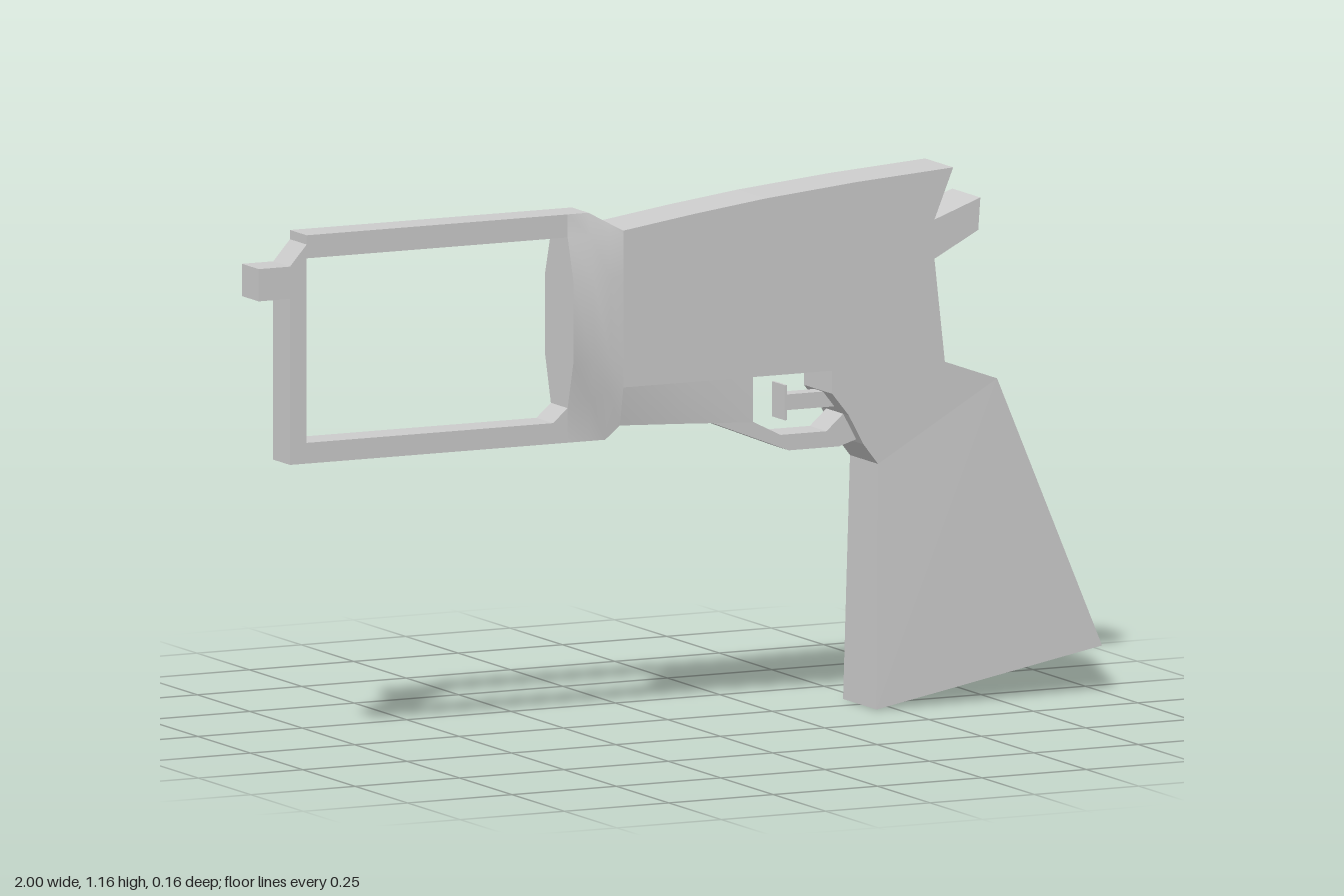
import * as THREE from 'three';
import { toCreasedNormals } from 'three/addons/utils/BufferGeometryUtils.js';

const WIDE = 0.067, NARROW = 0.04, FLARE = 0.08;
const material = new THREE.MeshStandardMaterial({ color: 0xcccccc });

function mesh(name, geometry) {
  const m = new THREE.Mesh(geometry, material);
  m.name = name;
  return m;
}

// Side outline extruded symmetrically about z = 0
function slab(points, half) {
  const shape = new THREE.Shape(points.map(([x, y]) => new THREE.Vector2(x, y)));
  return new THREE.ExtrudeGeometry(shape, { depth: half * 2, bevelEnabled: false }).translate(0, 0, -half);
}

// Loft along +x; each section is { x, half: [[y, z], ...] } from top to bottom, mirrored in z
function loft(sections) {
  const rings = sections.map(({ x, half }) => [
    ...half.map(([y, z]) => [x, y, z]),
    ...half.slice().reverse().map(([y, z]) => [x, y, -z]),
  ]);
  const pos = [];
  const quad = (a, b, c, d) => pos.push(...a, ...b, ...c, ...a, ...c, ...d);
  const n = rings[0].length;
  for (let s = 0; s < rings.length - 1; s++) {
    const a = rings[s], b = rings[s + 1];
    for (let i = 0; i < n; i++) {
      const j = (i + 1) % n;
      quad(a[i], a[j], b[j], b[i]);
    }
  }
  const first = rings[0], last = rings[rings.length - 1];
  for (let i = 0; i < n / 2 - 1; i++) {
    const k = n - 1 - i;
    quad(first[i], first[k], first[k - 1], first[i + 1]);
    quad(last[i], last[i + 1], last[k - 1], last[k]);
  }
  const geometry = new THREE.BufferGeometry();
  geometry.setAttribute('position', new THREE.Float32BufferAttribute(pos, 3));
  return toCreasedNormals(geometry, 0.5);
}

export function createModel() {
  const group = new THREE.Group();

  // Open window frame with the front lug
  group.add(mesh('windowFrame', slab([
    [-0.26, 1.12], [-0.885, 1.12], [-0.885, 1.10], [-0.925, 1.055], [-1, 1.055],
    [-1, 0.985], [-0.925, 0.985], [-0.925, 0.625], [-0.26, 0.625], [-0.26, 0.70],
    [-0.295, 0.67], [-0.885, 0.67], [-0.885, 1.07], [-0.26, 1.07],
  ], NARROW)));

  // Shoulder blending the thin frame into the wide body
  const shoulder = [
    // x, top y, top z, upper y, upper z, lower z, bottom y, bottom z
    [-0.26, 1.12, 0.04, 1.07, 0.04, 0.04, 0.625, 0.04],
    [-0.21, 1.12, 0.04, 1.07, 0.05, 0.05, 0.625, 0.04],
    [-0.17, 1.097, 0.054, 1.07, 0.06, 0.06, 0.625, 0.04],
    [-0.14, 1.08, WIDE, 1.07, WIDE, WIDE, 0.655, 0.05],
  ].map(([x, ty, tz, uy, uz, lz, by, bz]) => ({
    x,
    half: [[ty, tz], [uy, uz], [0.98, WIDE], [0.8, WIDE], [0.70 + (x + 0.26) / 3, lz], [by, bz]],
  }));
  group.add(mesh('shoulder', loft(shoulder)));

  // Main body with the rear spur
  group.add(mesh('body', slab([
    [-0.14, 1.08], [0.03, 1.104], [0.2, 1.125], [0.42, 1.145], [0.65, 1.16], [0.605, 1.05],
    [0.715, 1.09], [0.71, 1.02], [0.605, 0.965], [0.63, 0.74], [0.755, 0.695],
    [0.47, 0.53], [0.435, 0.575], [0.40, 0.64], [0.36, 0.69], [0.36, 0.74], [-0.14, 0.74],
  ], WIDE)));

  // Belly in front of the trigger opening
  group.add(mesh('belly', loft([
    { x: -0.14, half: [[0.74, WIDE], [0.655, 0.05]] },
    { x: 0.0, half: [[0.74, WIDE], [0.65, 0.06]] },
    { x: 0.17, half: [[0.74, WIDE], [0.642, WIDE]] },
  ])));

  // Grip, widening toward its base
  const grip = slab([[0.46, 0], [1, 0.10], [0.755, 0.695], [0.47, 0.53]], WIDE);
  const p = grip.attributes.position;
  for (let i = 0; i < p.count; i++) {
    if (p.getY(i) < 0.2) p.setZ(i, Math.sign(p.getZ(i)) * FLARE);
  }
  grip.computeVertexNormals();
  group.add(mesh('grip', grip));

  // Trigger guard
  group.add(mesh('triggerGuard', slab([
    [0.08, 0.645], [0.27, 0.57], [0.39, 0.57], [0.44, 0.585], [0.40, 0.64],
    [0.36, 0.605], [0.25, 0.605], [0.17, 0.645],
  ], NARROW)));

  // Trigger: thin blade on a short bar
  const trigger = new THREE.Group();
  trigger.name = 'trigger';
  trigger.add(mesh('triggerBlade', new THREE.BoxGeometry(0.006, 0.076, 0.06).translate(0.268, 0.672, 0)));
  trigger.add(mesh('triggerBar', new THREE.BoxGeometry(0.12, 0.034, 0.04).translate(0.328, 0.671, 0)));
  group.add(trigger);

  return group;
}
